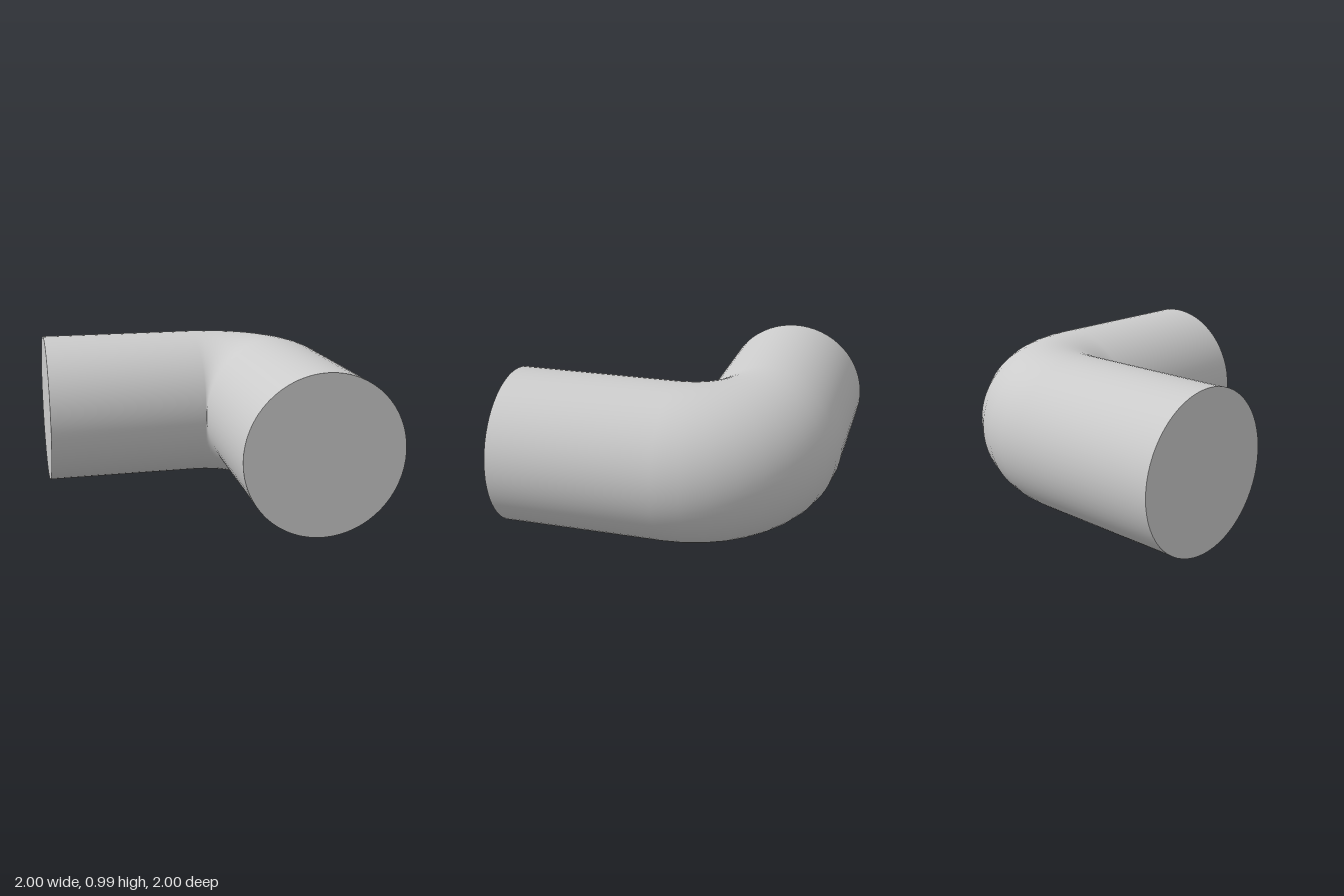
import * as THREE from 'three';

const RADIAL = 64, BEND = 9;
const RADIUS = 0.495;                 // pipe radius at the open ends
const PIVOT = { x: 0.03, z: -0.03 };  // sharp inner corner the bend turns around
const OUTER = 0.97;                   // distance from pivot to the outer wall

// Sections along the path: turn angle, shift along the path, half width
function sections() {
  const list = [{ a: 0, shift: -1 - PIVOT.x, w: RADIUS }];
  for (let i = 0; i <= BEND; i++) {
    list.push({ a: (i / BEND) * Math.PI / 2, shift: 0, w: OUTER / 2 - 0.002 });
  }
  list.push({ a: Math.PI / 2, shift: 1 - PIVOT.z, w: RADIUS });
  return list;
}

function elbowGeometry() {
  const pos = [], index = [];
  const list = sections();
  list.forEach(({ a, shift, w }, i) => {
    const s = Math.sin(a), c = Math.cos(a);
    for (let j = 0; j < RADIAL; j++) {
      const t = (j / RADIAL) * Math.PI * 2;
      const r = OUTER - w + w * Math.cos(t);
      pos.push(
        PIVOT.x + r * s + shift * c,
        RADIUS + RADIUS * Math.sin(t),
        PIVOT.z - r * c + shift * s
      );
      if (i < list.length - 1) {
        const k = (j + 1) % RADIAL;
        const p = i * RADIAL + j, q = i * RADIAL + k;
        index.push(p, q, p + RADIAL, q, q + RADIAL, p + RADIAL);
      }
    }
  });
  const g = new THREE.BufferGeometry();
  g.setAttribute('position', new THREE.Float32BufferAttribute(pos, 3));
  g.setIndex(index);
  g.computeVertexNormals();
  return g;
}

export function createModel() {
  const group = new THREE.Group();
  group.name = 'pipeElbow';
  const material = new THREE.MeshStandardMaterial({ color: 0xcccccc });

  // Curved wall with both straight arms
  const wall = new THREE.Mesh(elbowGeometry(), material);
  wall.name = 'elbowWall';
  group.add(wall);

  // Flat end caps
  const centre = 1 - RADIUS;
  const addCap = (name, x, z, turn) => {
    const cap = new THREE.Mesh(new THREE.CircleGeometry(RADIUS, RADIAL), material);
    cap.name = name;
    cap.position.set(x, RADIUS, z);
    cap.rotation.y = turn;
    group.add(cap);
  };
  addCap('frontCap', centre, 1, 0);
  addCap('rightCap', -1, -centre, -Math.PI / 2);

  return group;
}
